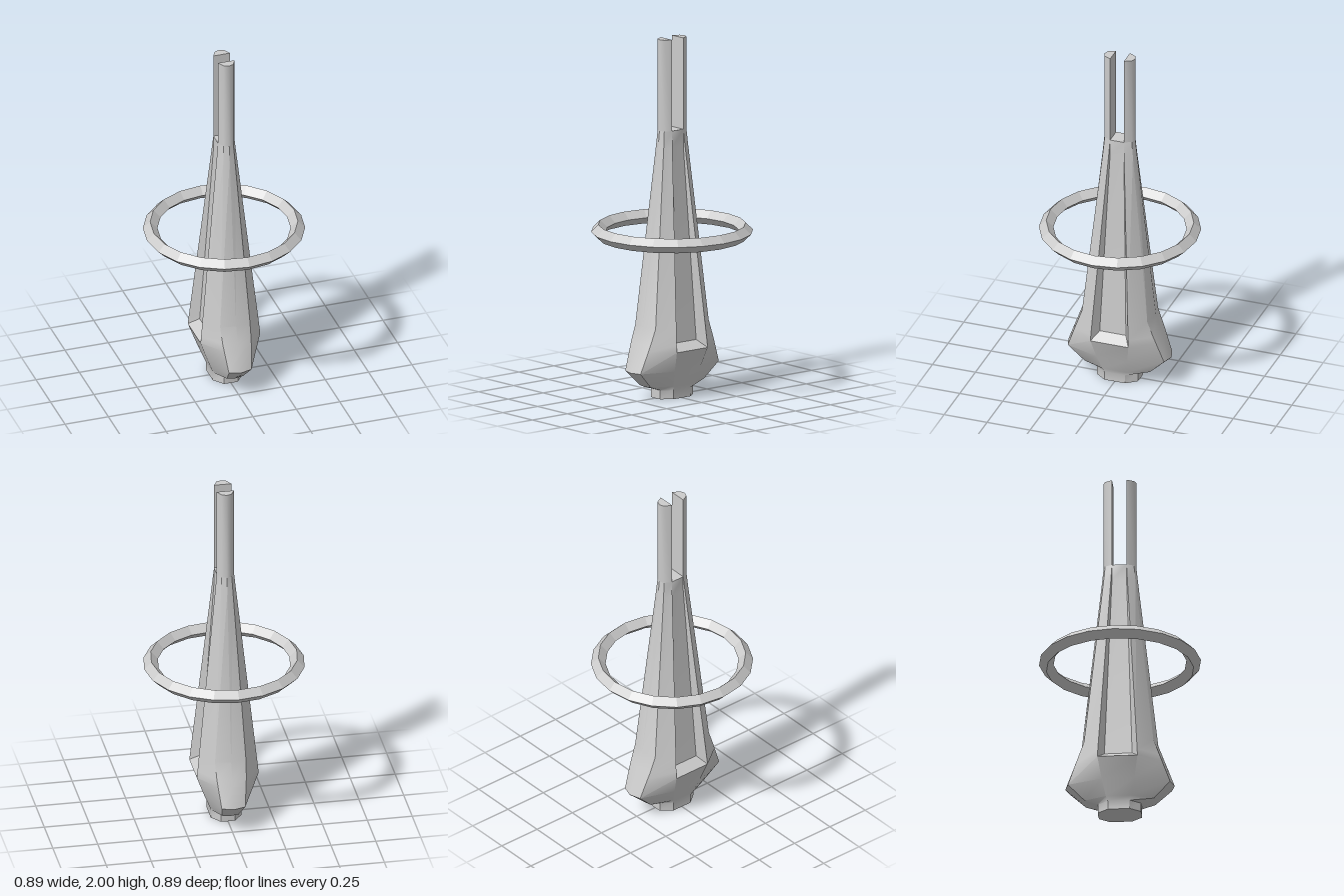
import * as THREE from 'three';
import { toCreasedNormals } from 'three/addons/utils/BufferGeometryUtils.js';

// Each level: y, then a quarter outline running from the front ridge to the side:
// ridge z, crease x z, side corner x z, channel floor corner x z
const LEVELS = [
  [0.00, 0.12, 0.04, 0.118, 0.085, 0.06, 0.085, 0.06],
  [0.05, 0.12, 0.04, 0.118, 0.085, 0.06, 0.085, 0.06],
  [0.075, 0.20, 0.046, 0.19, 0.094, 0.07, 0.094, 0.07],
  [0.165, 0.30, 0.065, 0.28, 0.13, 0.09, 0.13, 0.09],
  [0.28, 0.258, 0.078, 0.238, 0.172, 0.11, 0.172, 0.11],
  [0.32, 0.243, 0.082, 0.223, 0.168, 0.108, 0.115, 0.076],
  [0.41, 0.21, 0.086, 0.19, 0.159, 0.103, 0.109, 0.073],
  [1.40, 0.099, 0.033, 0.087, 0.057, 0.045, 0.048, 0.04],
  [1.49, 0.09, 0.028, 0.079, 0.048, 0.04, 0.048, 0.04],
];

// Mirrors a quarter outline into a full loop of 14 points
function ring([y, z0, x1, z1, x2, z2, x3, z3]) {
  const q = [[0, z0], [x1, z1], [x2, z2], [x3, z3]];
  const half = [...q, ...q.slice().reverse().map(([x, z]) => [x, -z])];
  const other = half.slice(1, -1).reverse().map(([x, z]) => [-x, z]);
  return [...half, ...other].map(([x, z]) => new THREE.Vector3(x, y, z));
}

function loft(rings) {
  const pos = [];
  const tri = (a, b, c) => {
    const area = b.clone().sub(a).cross(c.clone().sub(a)).length();
    if (area > 1e-8) pos.push(...a.toArray(), ...b.toArray(), ...c.toArray());
  };
  const n = rings[0].length;
  const bottom = rings[0], top = rings[rings.length - 1];
  const low = new THREE.Vector3(0, bottom[0].y, 0);
  const high = new THREE.Vector3(0, top[0].y, 0);
  for (let j = 0; j < n; j++) {
    const k = (j + 1) % n;
    for (let i = 0; i < rings.length - 1; i++) {
      const a = rings[i], b = rings[i + 1];
      tri(a[j], a[k], b[k]);
      tri(a[j], b[k], b[j]);
    }
    tri(low, bottom[k], bottom[j]);
    tri(high, top[j], top[k]);
  }
  const geo = new THREE.BufferGeometry();
  geo.setAttribute('position', new THREE.Float32BufferAttribute(pos, 3));
  return toCreasedNormals(geo, 0.6);
}

export function createModel() {
  const model = new THREE.Group();
  const grey = new THREE.MeshStandardMaterial({ color: 0xcccccc });
  const add = (name, geo, mat = grey) => {
    const mesh = new THREE.Mesh(geo, mat);
    mesh.name = name;
    model.add(mesh);
    return mesh;
  };

  // Tapering tower with a foot, bulging front and back, and a channel in each side
  add('body', loft(LEVELS.map(ring)));

  // Two upright prongs on top
  const section = new THREE.Shape([
    [-0.048, -0.04], [-0.028, -0.079], [0, -0.09], [0.028, -0.079], [0.048, -0.04],
  ].map(([x, y]) => new THREE.Vector2(x, y)));
  const prong = new THREE.ExtrudeGeometry(section, { depth: 0.51, bevelEnabled: false });
  prong.rotateX(-Math.PI / 2).translate(0, 1.49, 0);
  const prongGeo = toCreasedNormals(prong, 0.75);
  add('frontProng', prongGeo);
  add('backProng', prongGeo).rotation.y = Math.PI;

  // Floating ring with a diamond section
  const halo = new THREE.TorusGeometry(0.404, 0.04, 4, 20);
  halo.rotateX(-Math.PI / 2).translate(0, 0.92, 0);
  const flat = new THREE.MeshStandardMaterial({ color: 0xcccccc, flatShading: true });
  add('floatingRing', halo, flat);

  return model;
}
